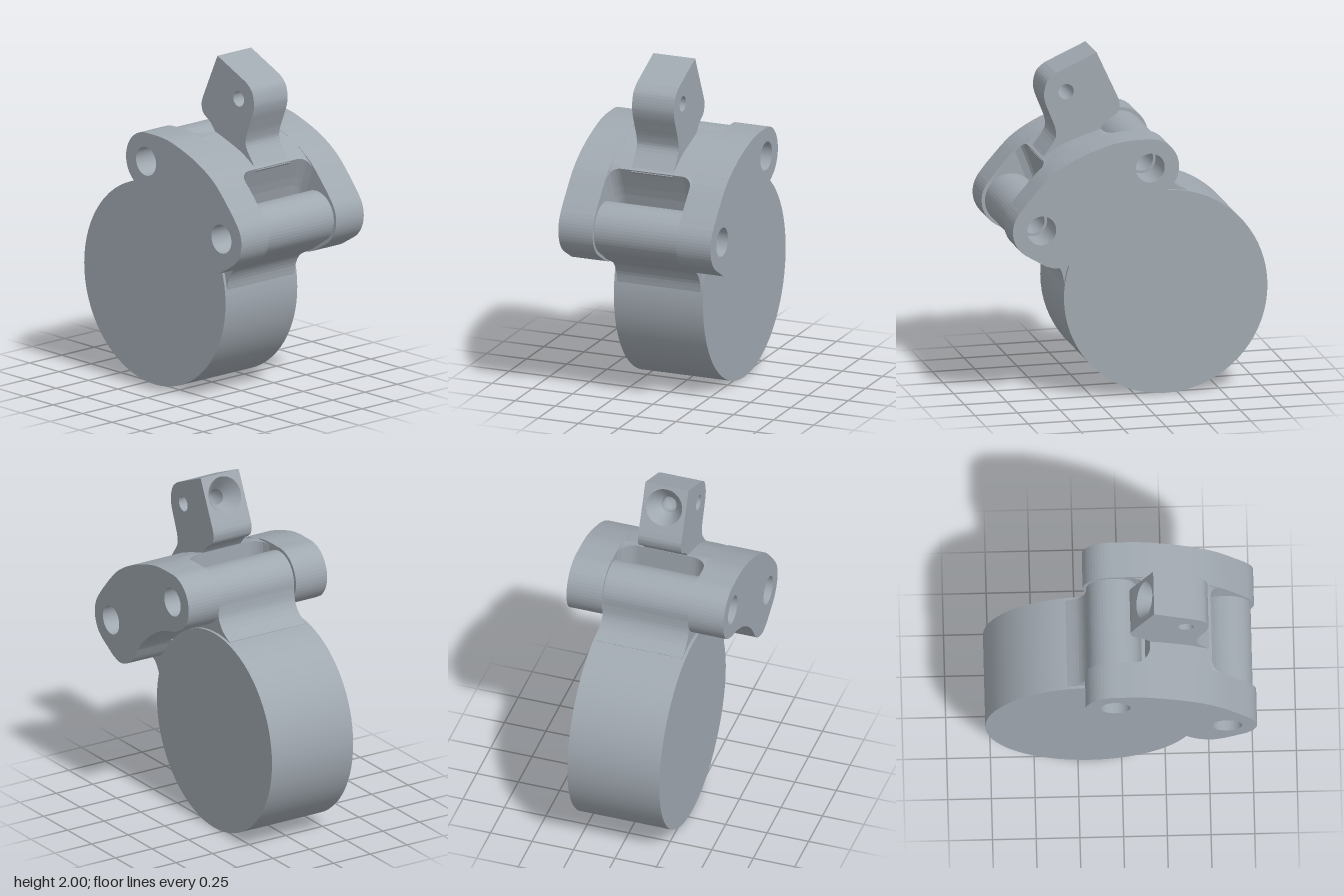
import * as THREE from 'three';

const metal = new THREE.MeshStandardMaterial({ color: 0xa0a8b0, side: THREE.DoubleSide });

const LEFT_PIN = [-0.04, 1.39];
const RIGHT_PIN = [0.6, 1.06];
const DISC = [-0.18, 0.6];

// Points on an arc, angles in degrees
function arc([cx, cy], r, from, to, n = 16) {
  return Array.from({ length: n + 1 }, (_, i) => {
    const a = THREE.MathUtils.degToRad(from + ((to - from) * i) / n);
    return [cx + r * Math.cos(a), cy + r * Math.sin(a)];
  });
}

// Smooth curve through a few points
function smooth(points, n = 16) {
  const curve = new THREE.SplineCurve(points.map(p => new THREE.Vector2(...p)));
  return curve.getPoints(n).map(p => [p.x, p.y]);
}

function outline(points, holes = []) {
  const shape = new THREE.Shape(points.map(p => new THREE.Vector2(...p)));
  for (const [centre, r] of holes) {
    shape.holes.push(new THREE.Path().absarc(centre[0], centre[1], r, 0, Math.PI * 2, true));
  }
  return shape;
}

function extrude(shape, z0, z1, steps = 1) {
  const g = new THREE.ExtrudeGeometry(shape, { depth: z1 - z0, bevelEnabled: false, steps, curveSegments: 32 });
  return g.translate(0, 0, z0);
}

function mesh(name, geometry) {
  const m = new THREE.Mesh(geometry, metal);
  m.name = name;
  return m;
}

// Disc body with two pivot lugs
function createBody() {
  const body = new THREE.Group();
  body.name = 'discBody';
  const disc = new THREE.CylinderGeometry(0.6, 0.6, 0.555, 72).rotateX(Math.PI / 2).translate(...DISC, 0);
  body.add(mesh('disc', disc));

  const leftLug = outline([
    [0.04, 1.05], [0.12, 1.12],
    ...smooth([[0.115, 1.14], [0.1, 1.22], [0.108, 1.37]], 8),
    ...arc(LEFT_PIN, 0.15, 0, 180, 24),
    ...smooth([[-0.19, 1.36], [-0.2, 1.29], [-0.24, 1.23], [-0.31, 1.187]], 12),
    [-0.25, 1.05],
  ], [[LEFT_PIN, 0.07]]);
  body.add(mesh('leftLug', extrude(leftLug, -0.26, 0.26)));

  const rightLug = outline([
    ...arc(RIGHT_PIN, 0.15, -60, 150, 28),
    ...smooth([[0.45, 1.09], [0.42, 1.04], [0.36, 0.99], [0.27, 1.0]], 10),
    [0.2, 0.9], [0.3, 0.65],
    ...smooth([[0.413, 0.67], [0.425, 0.74], [0.46, 0.8], [0.51, 0.83], [0.57, 0.86]], 14),
  ], [[RIGHT_PIN, 0.07]]);
  body.add(mesh('rightLug', extrude(rightLug, -0.26, 0.26)));
  return body;
}

// Curved yoke: two cheek plates joined by a bridge with filleted pockets
function createYoke() {
  const yoke = new THREE.Group();
  yoke.name = 'yoke';
  const cheek = outline([
    ...arc(LEFT_PIN, 0.17, 90, 232, 20),
    ...smooth([[-0.1, 1.23], [-0.05, 1.21], [0.0, 1.197]], 5),
    ...arc(DISC, 0.625, 72, 36, 14),
    ...smooth([[0.345, 0.935], [0.38, 0.885], [0.44, 0.845], [0.51, 0.83], [0.58, 0.85]], 14),
    ...arc(RIGHT_PIN, 0.17, -60, 30, 14),
    ...smooth([[0.735, 1.165], [0.67, 1.245], [0.54, 1.38], [0.38, 1.475], [0.195, 1.54], [0.09, 1.558], [0, 1.56]], 28),
  ], [[LEFT_PIN, 0.085], [RIGHT_PIN, 0.085]]);
  yoke.add(mesh('frontCheek', extrude(cheek, 0.26, 0.473)));
  yoke.add(mesh('backCheek', extrude(cheek, -0.473, -0.26)));

  const bridge = extrude(outline([
    [0.165, 1.547], [0.165, 1.39], [0.15, 1.28], [0.14, 1.15],
    ...arc(DISC, 0.625, 55, 36, 6),
    ...smooth([[0.385, 1.02], [0.43, 1.13], [0.46, 1.24], [0.52, 1.395]], 8),
    ...smooth([[0.49, 1.413], [0.38, 1.475], [0.195, 1.54]], 10),
  ]), -0.261, 0.261, 40);

  // Pocket walls flare out towards the cheeks
  const pos = bridge.attributes.position;
  const flare = (r, z) => {
    const t = Math.max(0, r - (0.261 - Math.abs(z)));
    return r - Math.sqrt(Math.max(0, r * r - t * t));
  };
  for (let i = 0; i < pos.count; i++) {
    const x = pos.getX(i), y = pos.getY(i), z = pos.getZ(i);
    if (x < 0.17) {
      pos.setX(i, x - flare(0.1, z));
    } else if (x > 0.5 || (x > 0.38 && y < 1.38)) {
      const d = flare(0.07, z);
      pos.setXY(i, x + d * 0.8, y - d * 0.8);
    }
  }
  bridge.computeVertexNormals();
  yoke.add(mesh('bridge', bridge));
  return yoke;
}

// Upright tab with a cross hole and a countersunk hole in its slanted face
function createTab() {
  const tab = new THREE.Group();
  tab.name = 'tab';
  const a = new THREE.Vector2(0.19, 2.0), b = new THREE.Vector2(0.07, 1.74);
  const half = 0.13;
  const solid = extrude(outline([
    [a.x, a.y], [b.x, b.y],
    ...smooth([[0.058, 1.71], [0.055, 1.68], [0.07, 1.635], [0.127, 1.597], [0.17, 1.545], [0.19, 1.5]], 16),
    [0.3, 1.42], [0.5, 1.36],
    ...smooth([[0.52, 1.385], [0.485, 1.43], [0.432, 1.51], [0.435, 1.57], [0.465, 1.65], [0.492, 1.72],
      [0.5, 1.78], [0.48, 1.85], [0.43, 1.893]], 32),
  ], [[[0.37, 1.78], 0.045]]), -half, half);

  // Open the slanted face so that the drilled face can replace it
  const dir = a.clone().sub(b).normalize();
  const src = solid.attributes.position, kept = [];
  for (let i = 0; i < src.count; i += 3) {
    const onFace = [0, 1, 2].every(k => {
      const x = src.getX(i + k) - b.x, y = src.getY(i + k) - b.y;
      return Math.abs(x * dir.y - y * dir.x) < 1e-4;
    });
    if (!onFace) for (let k = 0; k < 3; k++) kept.push(src.getX(i + k), src.getY(i + k), src.getZ(i + k));
  }
  const open = new THREE.BufferGeometry();
  open.setAttribute('position', new THREE.Float32BufferAttribute(kept, 3));
  open.computeVertexNormals();
  tab.add(mesh('tabBlock', open));

  const centre = a.clone().addScaledVector(dir, -0.127);
  const low = centre.distanceTo(b);
  const place = new THREE.Matrix4().makeBasis(
    new THREE.Vector3(-dir.x, -dir.y, 0), new THREE.Vector3(0, 0, 1), new THREE.Vector3(-dir.y, dir.x, 0),
  ).setPosition(centre.x, centre.y, 0);
  const face = outline([[-0.127, -half], [low, -half], [low, half], [-0.127, half]], [[[0, 0], 0.108]]);
  tab.add(mesh('drilledFace', new THREE.ShapeGeometry(face, 32).applyMatrix4(place)));

  const profile = [[0, -0.2], [0.045, -0.2], [0.045, -0.1], [0.045, -0.1], [0.108, 0]];
  const sink = new THREE.LatheGeometry(profile.map(p => new THREE.Vector2(...p)), 64);
  tab.add(mesh('countersink', sink.rotateX(Math.PI / 2).applyMatrix4(place)));
  return tab;
}

export function createModel() {
  const model = new THREE.Group();
  model.name = 'pivotClamp';
  model.add(createBody(), createYoke(), createTab());
  return model;
}
